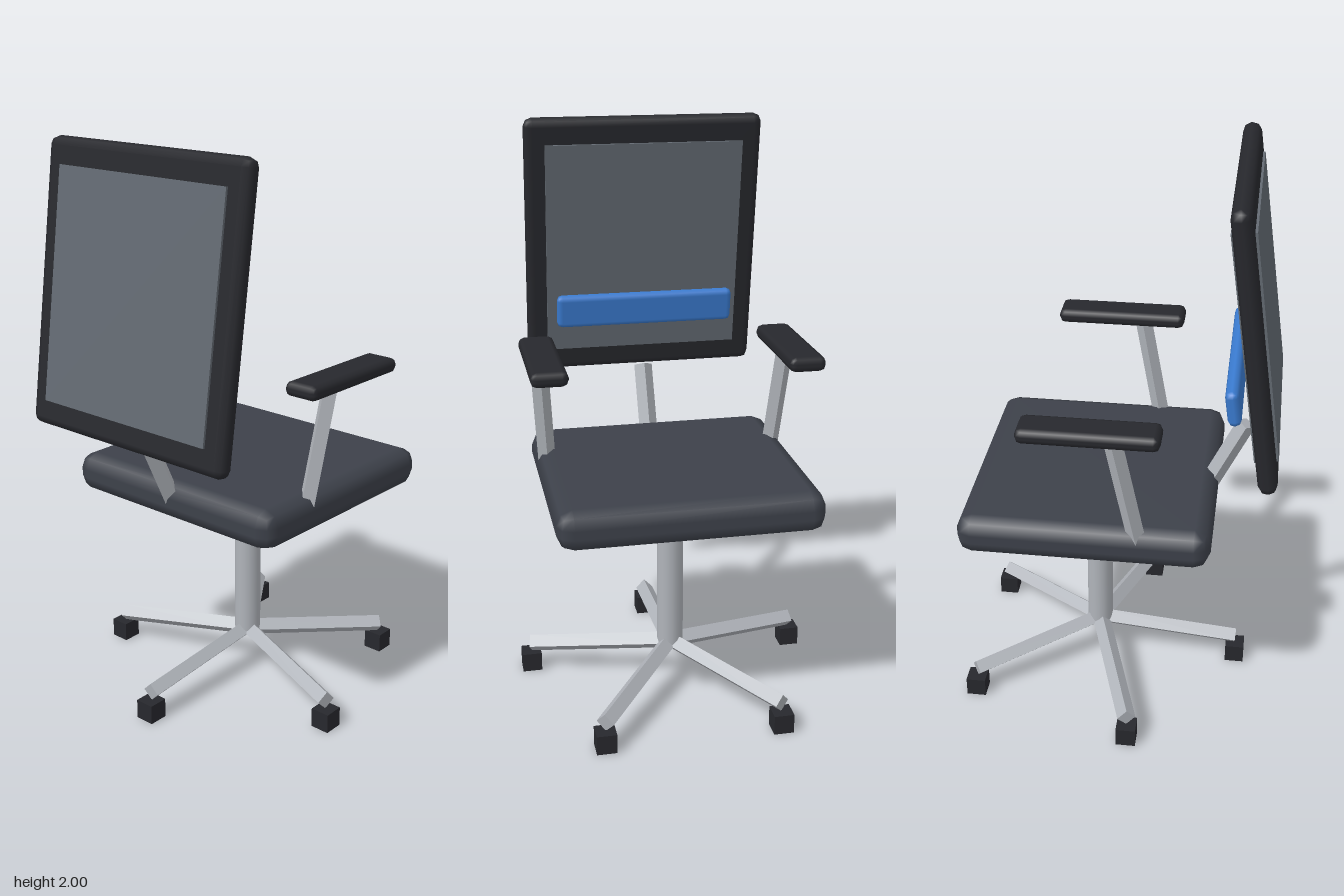
import * as THREE from 'three';
import { RoundedBoxGeometry } from 'three/addons/geometries/RoundedBoxGeometry.js';

const mat = (color, flatShading = false) => new THREE.MeshStandardMaterial({ color, flatShading });
const v = (x, y, z) => new THREE.Vector3(x, y, z);

export function createModel() {
  const chair = new THREE.Group();
  chair.name = 'officeChair';

  const metal = mat(0xb0b4ba);
  const metalFlat = mat(0xb0b4ba, true);
  const cushion = mat(0x3d414a);
  const plastic = mat(0x27282d);
  const mesh = mat(0x636a72);
  const blue = mat(0x3a7bd0);

  const add = (parent, name, geometry, material, pos) => {
    const m = new THREE.Mesh(geometry, material);
    m.name = name;
    m.position.copy(pos);
    parent.add(m);
    return m;
  };
  const rounded = (w, h, d, r) => new RoundedBoxGeometry(w, h, d, 1, r);

  // Four-sided bar between two points, one edge facing up
  const bar = (parent, name, a, b, r) => {
    const dir = b.clone().sub(a);
    const m = add(parent, name, new THREE.CylinderGeometry(r, r, dir.length(), 4), metalFlat,
      a.clone().add(b).multiplyScalar(0.5));
    m.quaternion.setFromUnitVectors(v(0, 1, 0), dir.normalize());
  };

  const axisZ = -0.09;

  // Five-star base with square casters
  const reach = 0.525;
  for (let i = 0; i < 5; i++) {
    const a = (i * Math.PI * 2) / 5;
    const leg = new THREE.Group();
    leg.name = 'baseLeg';
    leg.position.z = axisZ;
    leg.rotation.y = a;
    bar(leg, 'legBar', v(0, 0.148, 0), v(0, 0.1, reach), 0.033);
    chair.add(leg);
    add(chair, 'caster', new THREE.BoxGeometry(0.07, 0.07, 0.07), plastic,
      v(Math.sin(a) * reach, 0.035, axisZ + Math.cos(a) * reach));
  }

  // Column and seat
  add(chair, 'column', new THREE.CylinderGeometry(0.048, 0.048, 0.6, 16), metal, v(0, 0.45, axisZ));
  add(chair, 'seat', rounded(0.9, 0.14, 0.865, 0.055), cushion, v(0, 0.797, axisZ));

  // Armrests
  for (const s of [-1, 1]) {
    bar(chair, 'armPost', v(s * 0.413, 0.8, 0.1), v(s * 0.441, 1.235, 0.016), 0.031);
    add(chair, 'armPad', rounded(0.125, 0.052, 0.465, 0.022), plastic, v(s * 0.434, 1.241, -0.057));
  }

  // Support between seat and backrest
  bar(chair, 'backPost', v(0, 0.78, 0.3), v(0, 1.056, 0.431), 0.034);

  // Tilted backrest: frame, panel and lumbar pad
  const back = new THREE.Group();
  back.name = 'backrest';
  back.position.set(0, 1.519, 0.452);
  back.rotation.x = THREE.MathUtils.degToRad(-8);
  add(back, 'backFrame', rounded(0.865, 0.968, 0.064, 0.03), plastic, v(0, 0, 0));
  add(back, 'backPanel', new THREE.BoxGeometry(0.72, 0.785, 0.08), mesh, v(0, 0, 0));
  add(back, 'lumbarPad', rounded(0.66, 0.125, 0.045, 0.02), blue, v(0, -0.217, -0.092));
  chair.add(back);

  return chair;
}
